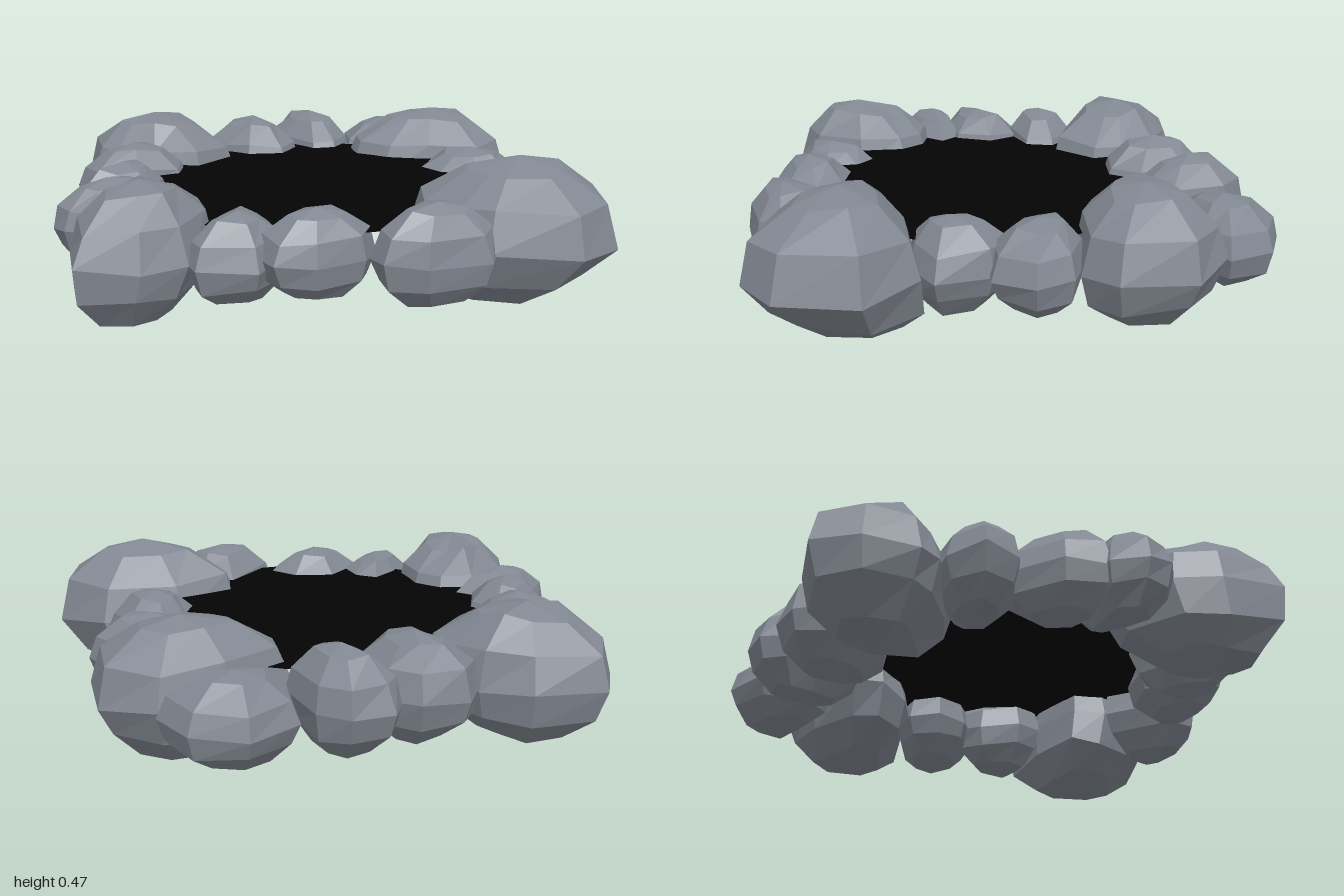
import * as THREE from 'three';

const stone = new THREE.MeshStandardMaterial({ color: 0x828892, flatShading: true });
stone.name = 'grey stone';
const black = new THREE.MeshStandardMaterial({ color: 0x040404, side: THREE.DoubleSide });
black.name = 'black pit';

// Rock profile: [height fraction, outline scale] from underside to crown
const PROFILE = [[0.07, 0.52], [0.25, 0.87], [0.48, 1], [0.73, 0.87], [0.93, 0.48]];

function makeRandom(seed) {
  let s = seed;
  return () => (s = (s * 16807) % 2147483647) / 2147483647;
}

// Lofts a faceted boulder from its plan outline ([x, z] clockwise from above)
function rockGeometry(outline, y0, y1, seed, lean = [0, 0]) {
  const rnd = makeRandom(seed * 7919 + 13);
  const n = outline.length;
  const xs = outline.map(p => p[0]), zs = outline.map(p => p[1]);
  const cx = (Math.min(...xs) + Math.max(...xs)) / 2;
  const cz = (Math.min(...zs) + Math.max(...zs)) / 2;
  const h = y1 - y0;
  const pos = [cx + lean[0], y0, cz + lean[1]];
  const index = [];
  for (const [f, s] of PROFILE) {
    const shift = Math.max(0, 1 - f / 0.48); // underside leans, crown does not
    for (const [x, z] of outline) {
      const k = s === 1 ? 1 : s * (0.95 + rnd() * 0.1);
      pos.push(
        cx + (x - cx) * k + lean[0] * shift,
        y0 + h * (f + (rnd() - 0.5) * 0.06),
        cz + (z - cz) * k + lean[1] * shift);
    }
  }
  pos.push(cx, y1, cz);
  const top = 1 + PROFILE.length * n;
  for (let i = 0; i < n; i++) {
    const j = (i + 1) % n;
    index.push(0, 1 + i, 1 + j);
    for (let r = 0; r < PROFILE.length - 1; r++) {
      const a = 1 + r * n, b = a + n;
      index.push(a + j, a + i, b + i, a + j, b + i, b + j);
    }
    index.push(top - n + j, top - n + i, top);
  }
  const g = new THREE.BufferGeometry();
  g.setAttribute('position', new THREE.Float32BufferAttribute(pos, 3));
  g.setIndex(index);
  const flat = g.toNonIndexed();
  flat.computeVertexNormals();
  return flat;
}

export function createModel() {
  const model = new THREE.Group();
  model.name = 'stoneRing';
  const add = (name, geometry, material) => {
    const mesh = new THREE.Mesh(geometry, material);
    mesh.name = name;
    model.add(mesh);
    return mesh;
  };
  let seed = 0;
  const rock = (name, y0, y1, outline, lean) =>
    add(name, rockGeometry(outline, y0, y1, ++seed, lean), stone);

  // Four large boulders
  rock('backBoulder', 0.03, 0.45, [[0.05, -1], [0.2, -0.84], [0.23, -0.68], [0.2, -0.52], [0.13, -0.44],
    [-0.05, -0.44], [-0.14, -0.58], [-0.2, -0.74], [-0.2, -0.83], [-0.09, -0.95]]);
  rock('rightBoulder', 0.03, 0.44, [[-0.97, -0.11], [-0.84, -0.26], [-0.71, -0.32], [-0.5, -0.3], [-0.43, -0.2],
    [-0.43, -0.09], [-0.54, 0.03], [-0.73, 0.1], [-0.86, 0.04]], [-0.05, 0]);
  rock('frontBoulder', 0, 0.47, [[-0.04, 0.39], [0.16, 0.47], [0.36, 0.64], [0.35, 0.85], [0.15, 0.995],
    [-0.02, 0.965], [-0.17, 0.74], [-0.17, 0.62], [-0.13, 0.45]], [-0.02, -0.1]);
  rock('leftBoulder', 0.03, 0.45, [[0.48, -0.21], [0.7, -0.16], [0.9, -0.06], [0.93, 0.13], [0.78, 0.3],
    [0.64, 0.29], [0.5, 0.14], [0.42, 0], [0.42, -0.13]]);

  // Smaller stones, clockwise from the back
  rock('backLeftStoneInner', 0.08, 0.41, [[0.34, -0.71], [0.47, -0.63], [0.48, -0.51], [0.39, -0.35],
    [0.27, -0.32], [0.18, -0.42], [0.17, -0.53], [0.2, -0.67]]);
  rock('backLeftStoneMiddle', 0.09, 0.41, [[0.56, -0.6], [0.67, -0.53], [0.68, -0.42], [0.58, -0.25],
    [0.46, -0.22], [0.39, -0.28], [0.42, -0.45], [0.48, -0.57]]);
  rock('backLeftStoneOuter', 0.1, 0.37, [[0.72, -0.4], [0.89, -0.36], [0.96, -0.21], [0.91, -0.06],
    [0.79, -0.07], [0.61, -0.16], [0.59, -0.28]]);
  rock('frontLeftStoneOuter', 0.09, 0.37, [[0.48, 0.12], [0.58, 0.18], [0.66, 0.34], [0.62, 0.46],
    [0.48, 0.49], [0.39, 0.4], [0.34, 0.26], [0.38, 0.16]]);
  rock('frontLeftStoneInner', 0.08, 0.37, [[0.3, 0.31], [0.43, 0.31], [0.46, 0.45], [0.38, 0.61],
    [0.24, 0.57], [0.14, 0.47], [0.18, 0.38]]);
  rock('frontRightStoneInner', 0.08, 0.39, [[-0.38, 0.47], [-0.12, 0.46], [-0.07, 0.6], [-0.12, 0.74],
    [-0.2, 0.77], [-0.37, 0.66], [-0.43, 0.55]]);
  rock('frontRightStoneMiddle', 0.1, 0.375, [[-0.58, 0.21], [-0.38, 0.2], [-0.28, 0.32], [-0.3, 0.44],
    [-0.41, 0.48], [-0.55, 0.41], [-0.63, 0.32]]);
  rock('frontRightStoneOuter', 0.08, 0.36, [[-0.71, 0.07], [-0.55, 0.02], [-0.41, 0.04], [-0.39, 0.15],
    [-0.48, 0.25], [-0.63, 0.27], [-0.75, 0.14]]);
  rock('backRightStoneOuter', 0.1, 0.38, [[-0.71, -0.47], [-0.6, -0.5], [-0.4, -0.36], [-0.4, -0.25],
    [-0.55, -0.24], [-0.71, -0.31], [-0.74, -0.39]]);
  rock('backRightStoneMiddle', 0.1, 0.39, [[-0.5, -0.57], [-0.31, -0.58], [-0.25, -0.5], [-0.28, -0.38],
    [-0.41, -0.32], [-0.55, -0.38], [-0.6, -0.48]]);
  rock('backRightStoneInner', 0.1, 0.4, [[-0.35, -0.74], [-0.22, -0.74], [-0.09, -0.63], [-0.07, -0.48],
    [-0.16, -0.42], [-0.31, -0.5], [-0.39, -0.63]]);

  // Flat dark opening inside the ring
  const pit = add('pitFloor', new THREE.CircleGeometry(0.59, 32), black);
  pit.rotation.x = -Math.PI / 2;
  pit.position.y = 0.3;

  return model;
}
